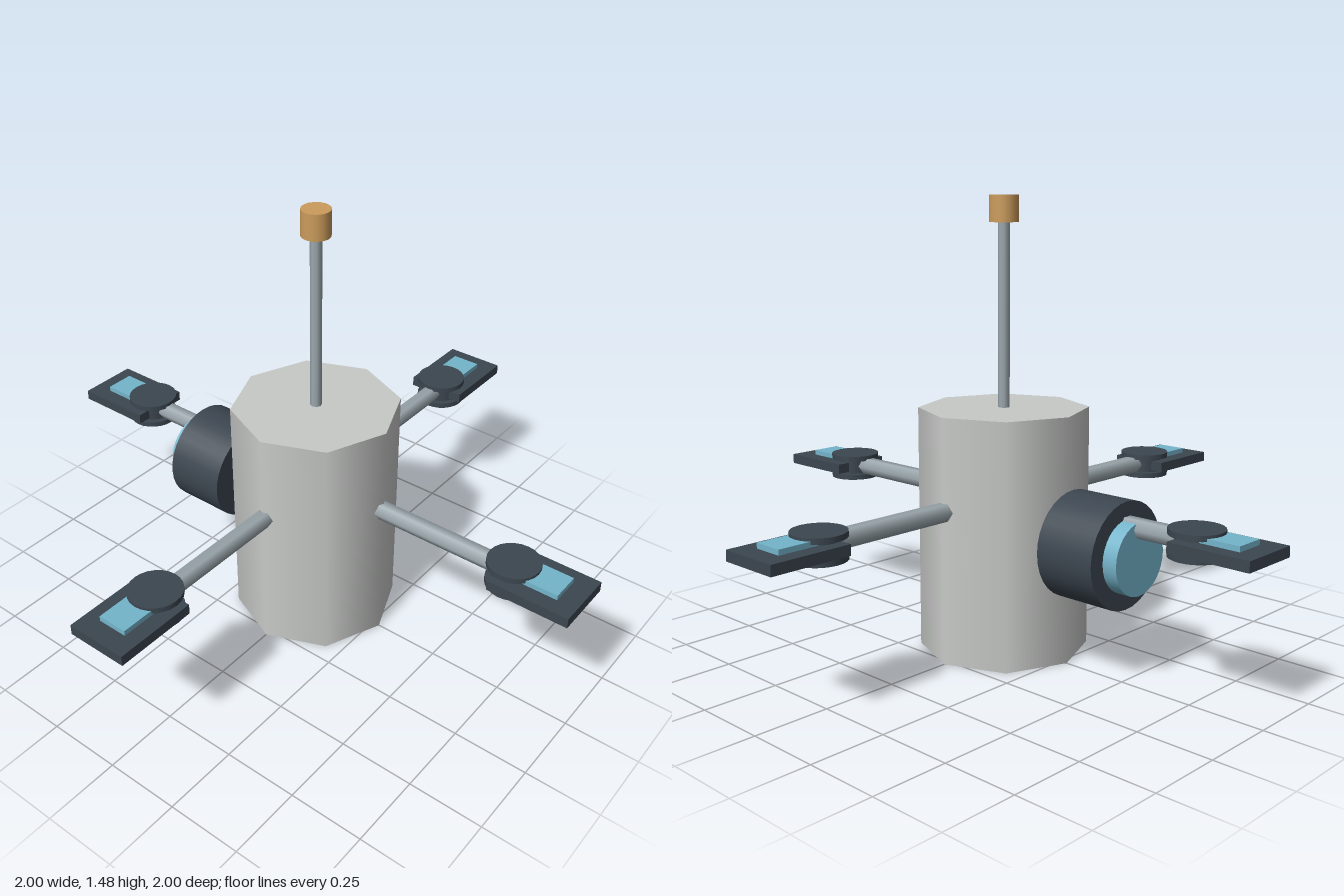
import * as THREE from 'three';

const mat = (name, color) => {
  const m = new THREE.MeshStandardMaterial({ color });
  m.name = name;
  return m;
};

export function createModel() {
  const shell = mat('pale shell grey', 0xc8cac8);
  const metal = mat('strut grey', 0x9ca8ae);
  const dark = mat('dark slate', 0x3c4650);
  const glass = mat('sky blue', 0x74b5cb);
  const brass = mat('brass', 0xcc9c5c);

  const model = new THREE.Group();
  model.name = 'probe';

  const add = (parent, name, geometry, material, x, y, z) => {
    const mesh = new THREE.Mesh(geometry, material);
    mesh.name = name;
    mesh.position.set(x, y, z);
    parent.add(mesh);
    return mesh;
  };
  const cyl = (r, h, n) => new THREE.CylinderGeometry(r, r, h, n);

  // Eight-sided body, mast and mast tip
  add(model, 'body', cyl(0.277, 0.8, 8), shell, 0, 0.4, 0);
  add(model, 'mast', cyl(0.019, 0.6, 8), metal, 0, 1.09, 0);
  add(model, 'mastTip', cyl(0.047, 0.085, 16), brass, 0, 1.4325, 0);

  // Four struts, each with a spool-shaped joint and a foot plate with a blue panel
  const strutGeo = cyl(0.032, 0.56, 6).rotateY(Math.PI / 6).rotateX(Math.PI / 2);
  const flangeGeo = cyl(0.085, 0.018, 24);
  const neckGeo = cyl(0.065, 0.06, 24);
  const plateGeo = new THREE.BoxGeometry(0.206, 0.034, 0.272);
  const panelGeo = new THREE.BoxGeometry(0.1, 0.022, 0.14);
  for (let i = 0; i < 4; i++) {
    const arm = new THREE.Group();
    arm.name = 'arm' + (i + 1);
    arm.rotation.y = (i * Math.PI) / 2;
    add(arm, 'strut', strutGeo, metal, 0, 0.5, 0.48);
    add(arm, 'jointNeck', neckGeo, dark, 0, 0.4975, 0.76);
    add(arm, 'jointTop', flangeGeo, dark, 0, 0.531, 0.76);
    add(arm, 'jointBottom', flangeGeo, dark, 0, 0.464, 0.76);
    add(arm, 'footPlate', plateGeo, dark, 0, 0.497, 0.864);
    add(arm, 'footPanel', panelGeo, glass, 0, 0.52, 0.865);
    model.add(arm);
  }

  // Round pod carried by the rear strut, with a blue lens
  add(model, 'pod', cyl(0.17, 0.21, 32).rotateX(Math.PI / 2), dark, 0, 0.405, -0.405);
  add(model, 'podLens', cyl(0.115, 0.06, 32).rotateX(Math.PI / 2), glass, 0, 0.405, -0.53);

  return model;
}
